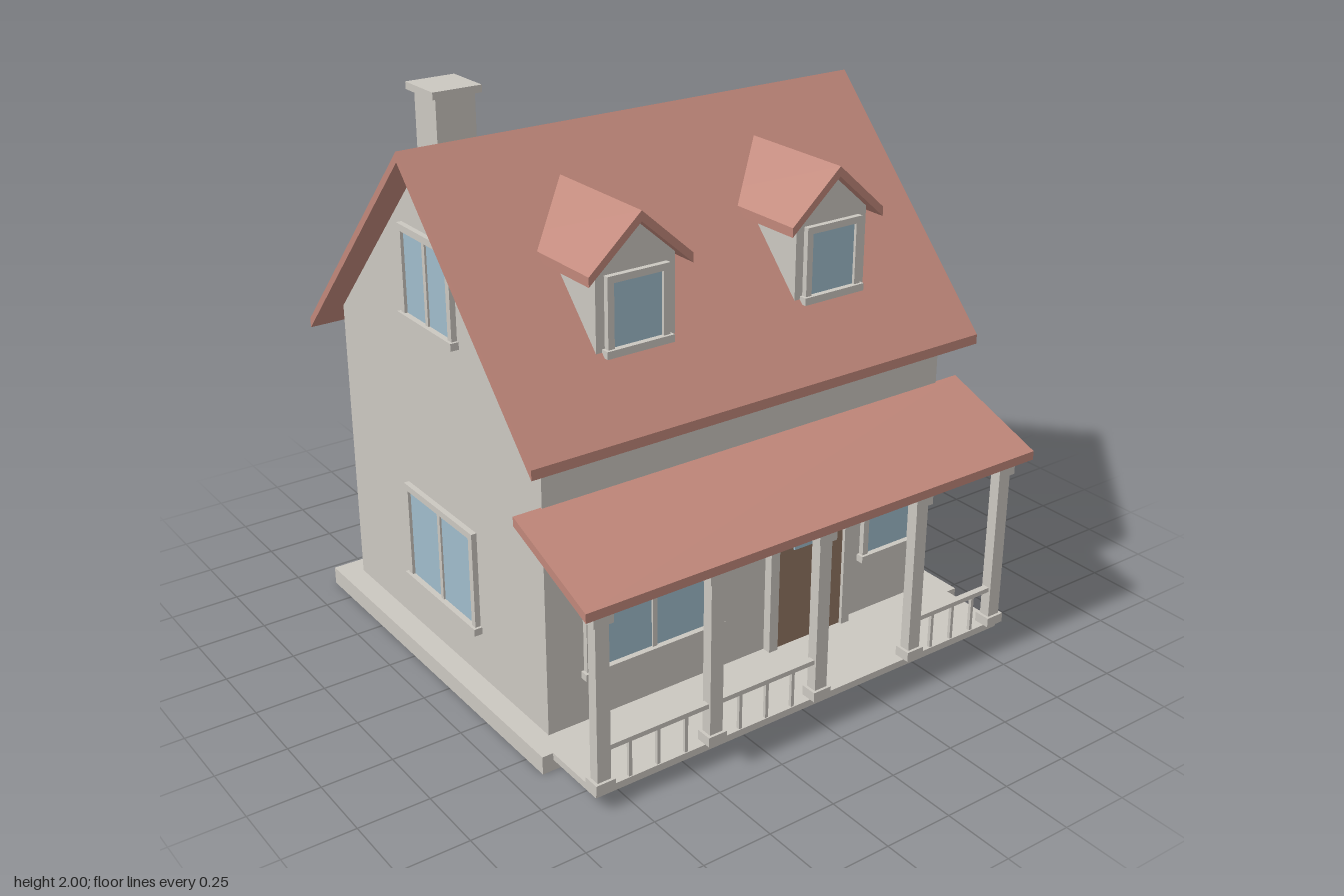
import * as THREE from 'three';

const mat = (name, color) => {
  const m = new THREE.MeshStandardMaterial({ color });
  m.name = name;
  return m;
};

export function createModel() {
  const house = new THREE.Group();
  house.name = 'house';
  const stone = mat('warm grey', 0xcbc7c0);
  const tile = mat('roof red', 0xc0877a);
  const pane = mat('glass blue', 0x9fbccb);
  const wood = mat('door brown', 0x927663);

  const add = (parent, name, geometry, material) => {
    const mesh = new THREE.Mesh(geometry, material);
    mesh.name = name;
    parent.add(mesh);
    return mesh;
  };

  // Box given by its limits on each axis
  const box = (parent, name, material, x0, x1, y0, y1, z0, z1) => {
    const mesh = add(parent, name, new THREE.BoxGeometry(x1 - x0, y1 - y0, z1 - z0), material);
    mesh.position.set((x0 + x1) / 2, (y0 + y1) / 2, (z0 + z1) / 2);
    return mesh;
  };

  const extrude = (points, depth) => new THREE.ExtrudeGeometry(
    new THREE.Shape(points.map(p => new THREE.Vector2(...p))), { depth, bevelEnabled: false });

  // Profile of [z, y] points swept across x, centred
  const acrossX = (points, width) =>
    extrude(points, width).translate(0, 0, -width / 2).rotateY(-Math.PI / 2);

  // Foundation, porch floor and step
  box(house, 'foundation', stone, -0.9, 0.9, 0, 0.065, -0.88, 0.6);
  box(house, 'porchFloor', stone, -0.86, 0.86, 0.04, 0.065, 0.58, 0.845);
  box(house, 'step', stone, 0.03, 0.46, 0.03, 0.041, 0.58, 0.73);

  // Walls with gables, and main roof
  add(house, 'walls', acrossX(
    [[0.51, 0.06], [0.51, 1.143], [-0.142, 1.832], [-0.8, 1.137], [-0.8, 0.06]], 1.64), stone);
  add(house, 'mainRoof', acrossX(
    [[0.605, 1.045], [0.605, 1.08], [-0.142, 1.87], [-0.89, 1.08], [-0.89, 1.045], [-0.142, 1.835]], 1.82), tile);

  // Chimney
  box(house, 'chimney', stone, -0.69, -0.545, 1.4, 1.976, -0.42, -0.28);
  box(house, 'chimneyCap', stone, -0.71, -0.53, 1.975, 2, -0.44, -0.26);

  // Porch roof, beam and posts
  add(house, 'porchRoof', acrossX(
    [[0.9, 0.71], [0.9, 0.742], [0.505, 0.888], [0.505, 0.856]], 1.84), tile);
  box(house, 'porchBeam', stone, -0.89, 0.89, 0.687, 0.725, 0.825, 0.86);
  for (const x of [-0.835, -0.405, 0.03, 0.45, 0.835]) {
    const post = new THREE.Group();
    post.name = 'porchPost';
    post.position.set(x, 0, 0.835);
    house.add(post);
    box(post, 'shaft', stone, -0.025, 0.025, 0.065, 0.69, -0.02, 0.02);
    box(post, 'base', stone, -0.036, 0.036, 0.065, 0.1, -0.03, 0.03);
    box(post, 'capital', stone, -0.036, 0.036, 0.655, 0.688, -0.03, 0.03);
  }

  // Railings
  for (const [x0, x1] of [[-0.835, -0.405], [-0.405, 0.03], [0.45, 0.835]]) {
    box(house, 'handrail', stone, x0, x1, 0.198, 0.215, 0.823, 0.847);
    for (let i = 1; i < 4; i++) {
      const x = x0 + (x1 - x0) * i / 4;
      box(house, 'baluster', stone, x - 0.006, x + 0.006, 0.065, 0.2, 0.829, 0.841);
    }
  }

  // Window facing local +z: glass, surrounding bars, sill and optional mullion
  const addWindow = (name, x, z, turn, w, y0, y1, panes) => {
    const g = new THREE.Group();
    g.name = name;
    g.position.set(x, 0, z);
    g.rotation.y = turn;
    house.add(g);
    const h = w / 2, t = 0.024;
    box(g, 'glass', pane, -h + 0.01, h - 0.01, y0, y1 - 0.01, 0, 0.009);
    for (const s of [-1, 1]) {
      const c = s * (h - t / 2);
      box(g, 'sideTrim', stone, c - t / 2, c + t / 2, y0, y1, 0, 0.02);
    }
    box(g, 'topTrim', stone, -h + t, h - t, y1 - t, y1, 0, 0.02);
    box(g, 'sill', stone, -h - 0.01, h + 0.01, y0 - 0.023, y0 + 0.003, 0, 0.03);
    if (panes === 2) box(g, 'mullion', stone, -0.009, 0.009, y0, y1 - t, 0, 0.016);
  };

  addWindow('frontWideWindow', -0.41, 0.51, 0, 0.54, 0.255, 0.625, 2);
  addWindow('frontNarrowWindow', 0.615, 0.51, 0, 0.245, 0.302, 0.61, 1);
  for (const s of [-1, 1]) {
    addWindow('sideWindow', s * 0.82, -0.14, s * Math.PI / 2, 0.465, 0.262, 0.617, 2);
    addWindow('gableWindow', s * 0.82, -0.142, s * Math.PI / 2, 0.335, 1.272, 1.583, 2);
    addWindow('backWindow', s * 0.37, -0.8, Math.PI, 0.465, 0.262, 0.617, 2);
  }

  // Front door
  box(house, 'door', wood, 0.1, 0.392, 0.065, 0.642, 0.505, 0.53);
  box(house, 'doorGlass', pane, 0.17, 0.317, 0.434, 0.558, 0.53, 0.537);
  box(house, 'doorFrameRight', stone, 0.063, 0.1, 0.065, 0.642, 0.505, 0.543);
  box(house, 'doorFrameLeft', stone, 0.392, 0.427, 0.065, 0.642, 0.505, 0.543);
  box(house, 'doorFrameTop', stone, 0.063, 0.427, 0.642, 0.68, 0.505, 0.543);

  // Dormers
  for (const x of [-0.395, 0.395]) {
    const g = new THREE.Group();
    g.name = 'dormer';
    g.position.x = x;
    house.add(g);
    add(g, 'dormerWalls', extrude(
      [[-0.15, 1.22], [0.15, 1.22], [0.15, 1.566], [0, 1.698], [-0.15, 1.566]], 0.4), stone).position.z = 0.005;
    add(g, 'dormerRoof', extrude(
      [[-0.195, 1.53], [0, 1.702], [0.195, 1.53], [0.195, 1.563], [0, 1.737], [-0.195, 1.563]], 0.46), tile).position.z = -0.02;
    addWindow('dormerWindow', x, 0.405, 0, 0.235, 1.3, 1.543, 1);
  }
  return house;
}
